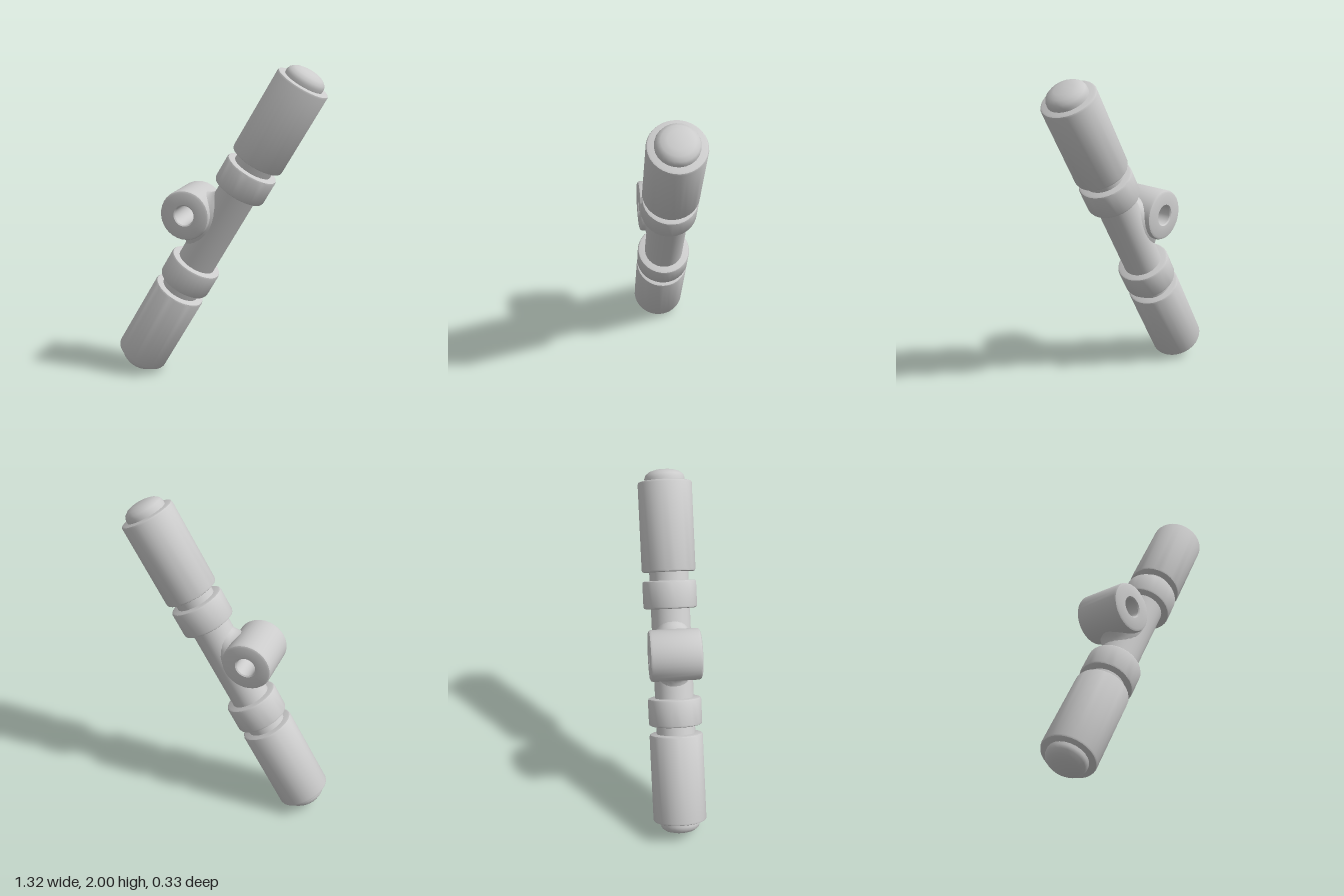
import * as THREE from 'three';
import { toCreasedNormals } from 'three/addons/utils/BufferGeometryUtils.js';

const material = new THREE.MeshStandardMaterial({ color: 0xcccccc });

function addMesh(parent, name, geometry, crease = 0.5) {
  const mesh = new THREE.Mesh(toCreasedNormals(geometry, crease), material);
  mesh.name = name;
  parent.add(mesh);
  return mesh;
}

// Profile given as [radius, height], from bottom to top
function lathe(profile, segments = 32) {
  return new THREE.LatheGeometry(profile.map(([r, y]) => new THREE.Vector2(r, y)), segments);
}

// Cylinder with rounded rims
function roundedRod(r, y0, y1, b) {
  const k = b * 0.3;
  return lathe([
    [0, y0], [r - b, y0], [r - k, y0 + k], [r, y0 + b],
    [r, y1 - b], [r - k, y1 - k], [r - b, y1], [0, y1],
  ]);
}

// Flared web that blends the pivot eye into the shaft
function webGeometry() {
  // half length, half depth, x at the ends, x at the sides
  const levels = [
    [0.15, 0.15, -0.175, -0.12], [0.16, 0.148, -0.15, -0.105],
    [0.18, 0.142, -0.128, -0.08], [0.21, 0.133, -0.113, -0.055],
    [0.25, 0.122, -0.1, -0.025], [0.25, 0.11, -0.07, 0],
  ];
  const n = 32, positions = [], index = [];
  levels.forEach(([a, b, xEnd, xSide], i) => {
    for (let j = 0; j < n; j++) {
      const c = Math.cos((j / n) * Math.PI * 2), s = Math.sin((j / n) * Math.PI * 2);
      positions.push(xEnd * c * c + xSide * s * s, a * c, b * s);
      if (i === levels.length - 1) continue;
      const p = i * n + j, q = i * n + ((j + 1) % n);
      index.push(p, q, p + n, q, q + n, p + n);
    }
  });
  const geometry = new THREE.BufferGeometry();
  geometry.setAttribute('position', new THREE.Float32BufferAttribute(positions, 3));
  geometry.setIndex(index);
  return geometry;
}

export function createModel() {
  const model = new THREE.Group();
  model.name = 'pivotedHandle';

  // Everything is built upright, then leaned over
  const body = new THREE.Group();
  body.name = 'body';
  body.position.y = 1;
  body.rotation.z = -Math.PI / 6;
  model.add(body);

  addMesh(body, 'shaft', new THREE.CylinderGeometry(0.12, 0.12, 1.2, 32));

  // Matching ends: collar, sleeve and domed cap
  ['upperEnd', 'lowerEnd'].forEach((name, i) => {
    const end = new THREE.Group();
    end.name = name;
    end.rotation.z = i * Math.PI;
    addMesh(end, 'collar', roundedRod(0.165, 0.274, 0.444, 0.014));
    addMesh(end, 'sleeve', roundedRod(0.165, 0.496, 1.043, 0.014));
    addMesh(end, 'cap', lathe([
      [0.123, 1.03], [0.123, 1.062], [0.115, 1.083], [0.092, 1.101], [0.058, 1.112], [0, 1.114],
    ], 24), 0.6);
    body.add(end);
  });

  // Pivot eye with a through hole
  const eye = addMesh(body, 'pivotEye', lathe([
    [0.06, -0.148], [0.067, -0.155], [0.138, -0.155], [0.15, -0.149], [0.155, -0.137],
    [0.155, 0.137], [0.15, 0.149], [0.138, 0.155], [0.067, 0.155], [0.06, 0.148], [0.06, -0.148],
  ]));
  eye.rotation.x = Math.PI / 2;
  eye.position.x = -0.186;

  addMesh(body, 'pivotWeb', webGeometry(), 0.9);
  return model;
}
